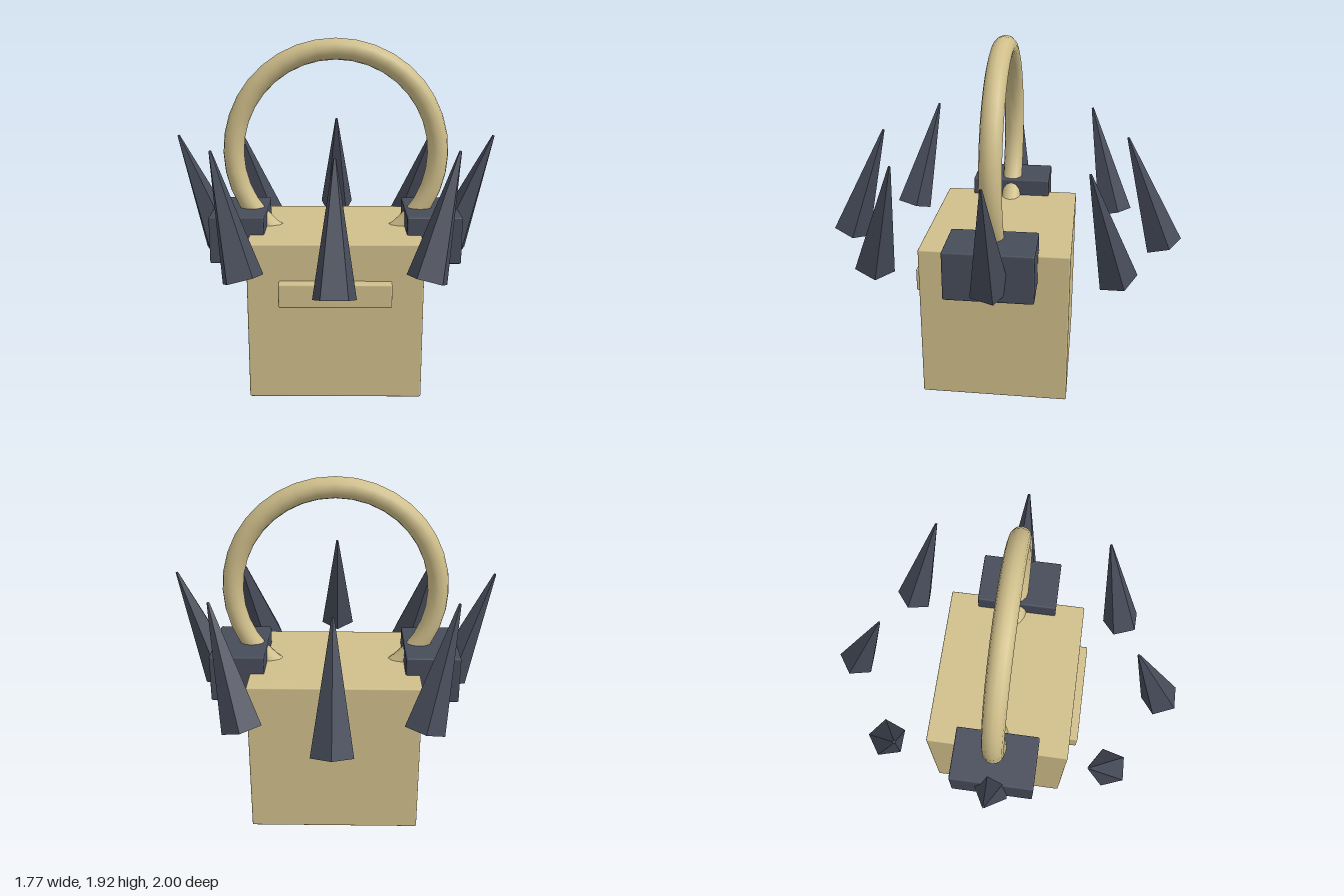
import * as THREE from 'three';
import { RoundedBoxGeometry } from 'three/addons/geometries/RoundedBoxGeometry.js';

export function createModel() {
  const model = new THREE.Group();
  const tan = new THREE.MeshStandardMaterial({ color: 0xd0bf8b });
  tan.name = 'tan';
  const slate = new THREE.MeshStandardMaterial({ color: 0x474c5a });
  slate.name = 'slate';
  const slateFlat = slate; // spikes get faceted normals from their geometry
  const midZ = 0.008;

  function add(name, geometry, material, x, y, z) {
    const mesh = new THREE.Mesh(geometry, material);
    mesh.name = name;
    mesh.position.set(x, y, z);
    model.add(mesh);
    return mesh;
  }
  const box = (w, h, d) => new RoundedBoxGeometry(w, h, d, 2, 0.009);

  // Main block with a raised bar on the front
  add('body', box(0.94, 0.88, 0.805), tan, 0, 0.44, midZ);
  add('frontBar', box(0.6, 0.132, 0.12), tan, 0, 0.611, 0.406);

  // Side blocks that hold the ring
  for (const side of [-1, 1]) {
    add(side > 0 ? 'leftBlock' : 'rightBlock', box(0.3, 0.265, 0.465), slate, side * 0.54, 0.847, midZ);
  }

  // Ring handle, its lower part sunk into the body
  add('ringHandle', new THREE.TorusGeometry(0.571, 0.058, 12, 36), tan, 0, 1.291, midZ);

  // Eight five-sided spikes floating around the body
  const spike = new THREE.CylinderGeometry(0.007, 0.11, 0.66, 5, 1, false, Math.PI).toNonIndexed();
  spike.computeVertexNormals();
  for (let i = 0; i < 8; i++) {
    const a = (i * Math.PI) / 4;
    const mesh = add('spike', spike, slateFlat, 0.764 * Math.cos(a), 1.08, midZ + 0.793 * Math.sin(a));
    mesh.rotation.set(-0.35 * Math.sin(a), 0, -0.35 * Math.cos(a));
  }
  return model;
}
